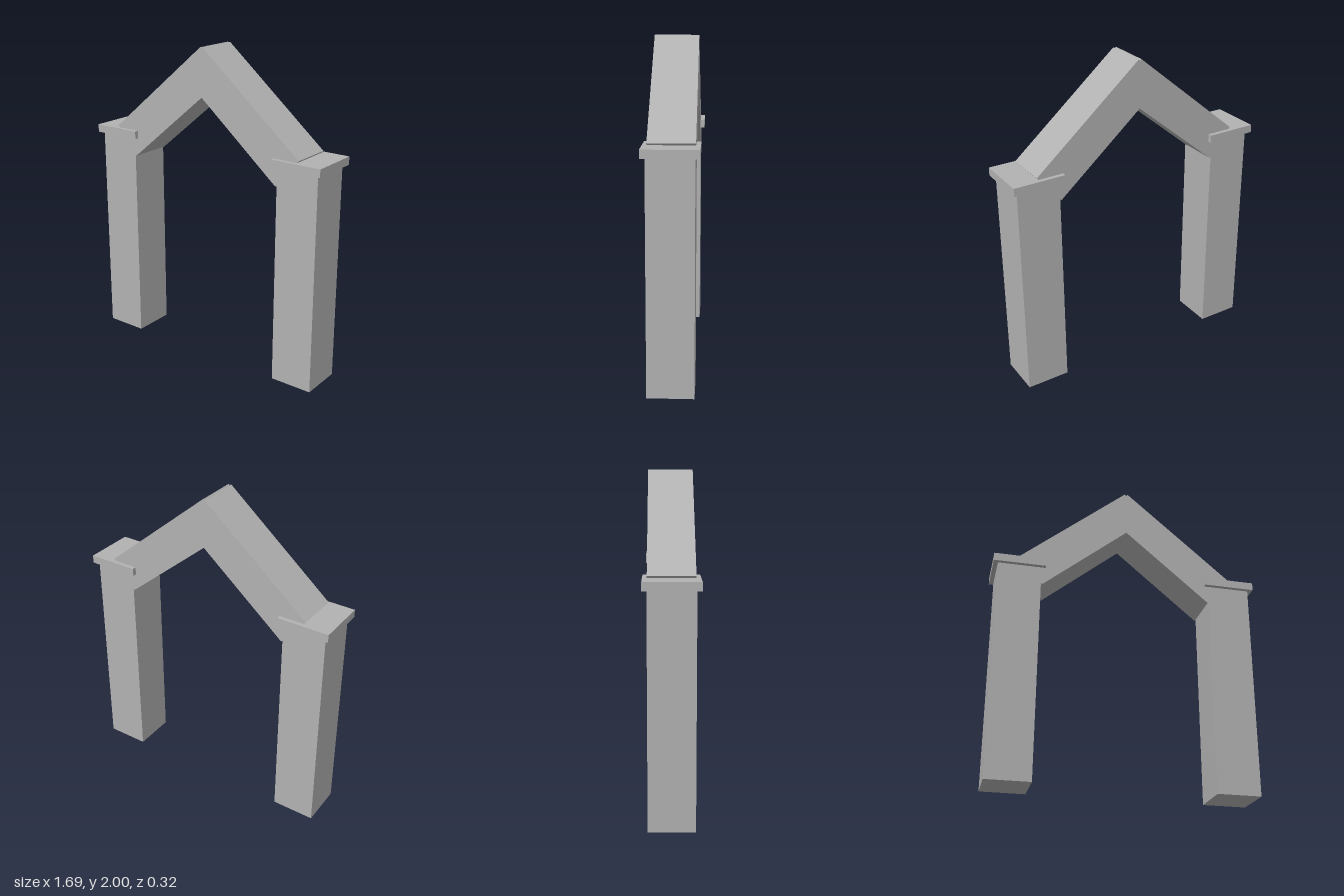
import * as THREE from 'three';

export function createModel() {
  const arch = new THREE.Group();
  arch.name = 'gableArch';
  const stone = new THREE.MeshStandardMaterial({ color: 0xb2b2b2 });
  stone.name = 'grey stone';

  const addBox = (name, size, position, tilt = 0) => {
    const mesh = new THREE.Mesh(new THREE.BoxGeometry(...size), stone);
    mesh.name = name;
    mesh.position.set(...position);
    mesh.rotation.z = tilt;
    arch.add(mesh);
  };

  const slope = THREE.MathUtils.degToRad(40);
  for (const [side, s] of [['left', 1], ['right', -1]]) {
    // Square post standing on the ground
    addBox(side + 'Post', [0.272, 1.4, 0.272], [s * 0.681, 0.7, 0]);
    // Thin overhanging slab on the post
    addBox(side + 'Cap', [0.325, 0.05, 0.325], [s * 0.682, 1.395, 0]);
    // Sloping beam; the two cross at the ridge, leaving a small notch
    addBox(side + 'Beam', [0.886, 0.234, 0.272], [s * 0.273, 1.627, 0], -s * slope);
  }
  return arch;
}
